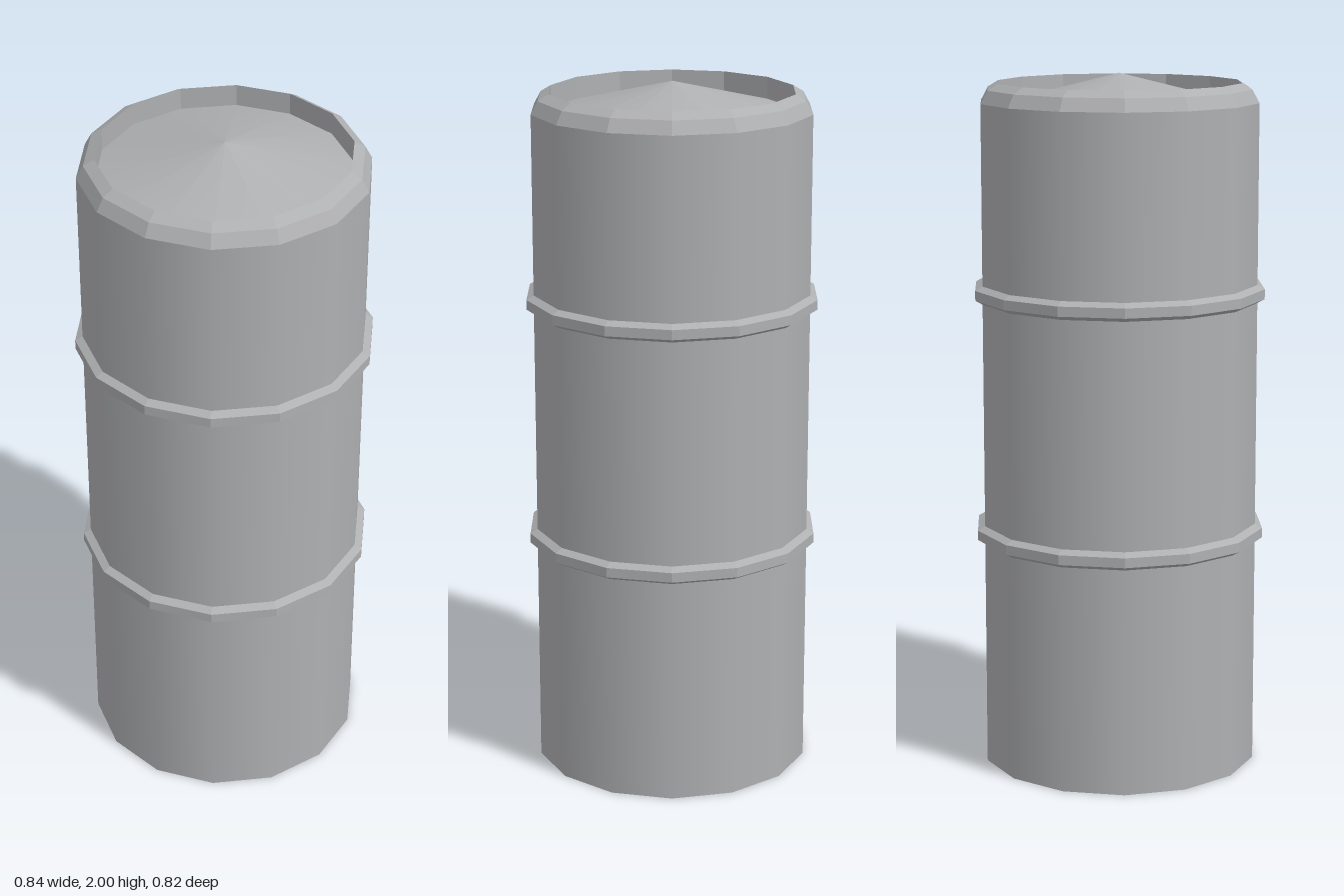
import * as THREE from 'three';

const SIDES = 14;

export function createModel() {
  const steel = new THREE.MeshStandardMaterial({ color: 0xafb0b2, side: THREE.DoubleSide });
  steel.name = 'grey steel';
  const drum = new THREE.Group();
  drum.name = 'drum';

  // Turns a [radius, height] profile; faceted parts get flat normals
  function turned(name, profile, faceted = false) {
    const points = profile.map(([r, y]) => new THREE.Vector2(r, y));
    let geometry = new THREE.LatheGeometry(points, SIDES, Math.PI / 2);
    if (faceted) {
      geometry = geometry.toNonIndexed();
      geometry.computeVertexNormals();
    }
    const mesh = new THREE.Mesh(geometry, steel);
    mesh.name = name;
    drum.add(mesh);
  }

  // Open-bottomed wall
  turned('wall', [[0.4, 0], [0.4, 1.92]]);

  // Bevelled rim with a short drop to the lid
  turned('rim', [[0.4, 1.92], [0.38, 1.957], [0.35, 1.975], [0.35, 1.912]], true);

  // Shallow conical lid
  turned('lid', [[0.35, 1.912], [0, 2]]);

  // Two raised hoops
  for (const [name, y] of [['lowerHoop', 0.683], ['upperHoop', 1.381]]) {
    turned(name, [[0.4, y - 0.026], [0.421, y - 0.014], [0.421, y + 0.014], [0.4, y + 0.026]], true);
  }
  return drum;
}
